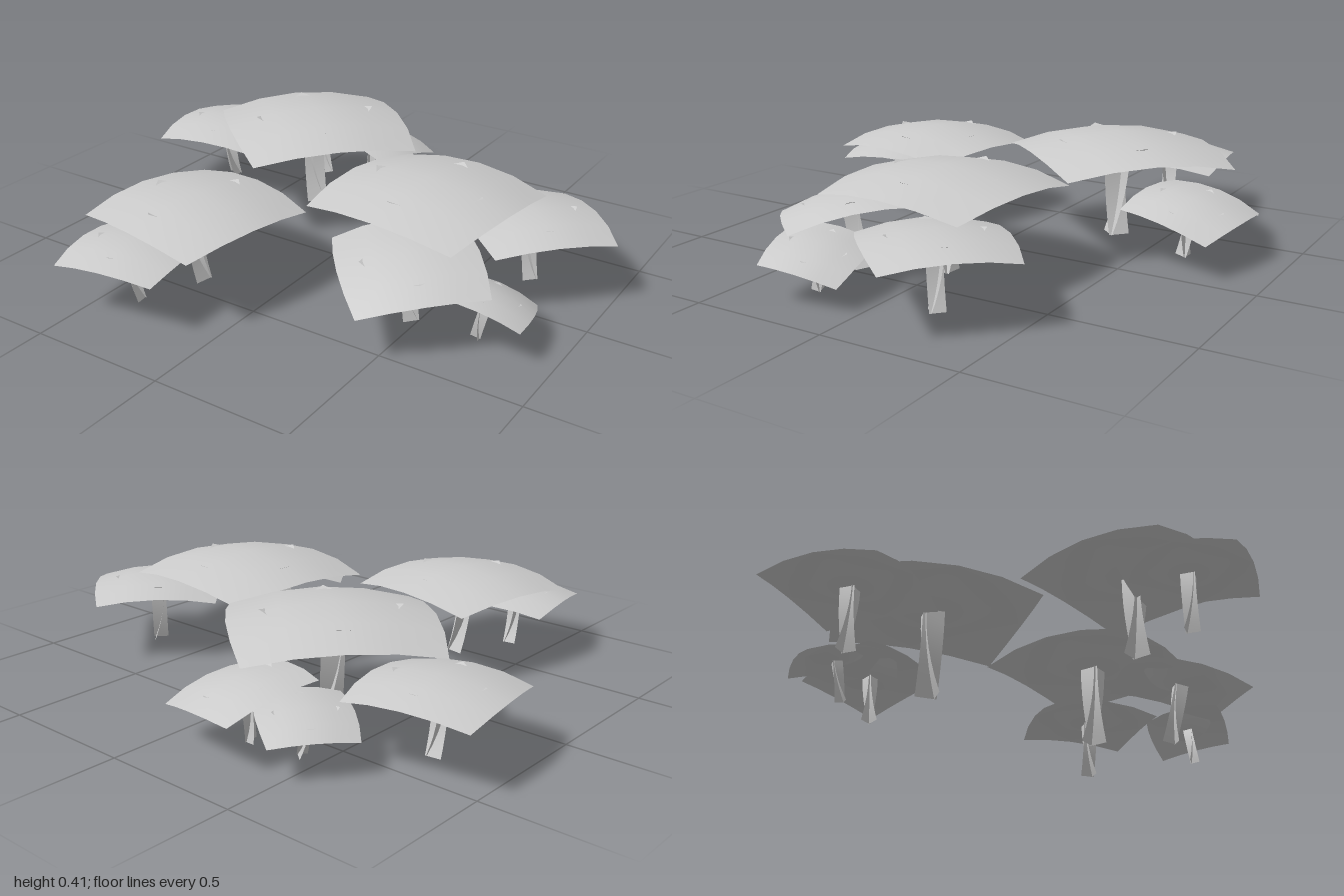
import * as THREE from 'three';

const material = new THREE.MeshStandardMaterial({ color: 0xcccccc, side: THREE.DoubleSide });

// All shapes are in units of the cap radius (centre to corner).
const HEIGHT = 0.925;   // top of the cap
const GILL_DROP = 0.17; // lowest point of the gills below the cap top

// Square sheet with bowed edges; heightAt gives y from the squared radius.
function sheet(radius, segments, heightAt) {
  const geometry = new THREE.PlaneGeometry(2, 2, segments, segments).rotateX(-Math.PI / 2);
  const p = geometry.attributes.position;
  const half = radius * Math.SQRT1_2;
  for (let i = 0; i < p.count; i++) {
    const u = p.getX(i), v = p.getZ(i);
    const x = half * u * (1 + 0.09 * (1 - v * v));
    const z = half * v * (1 + 0.09 * (1 - u * u));
    p.setXYZ(i, x, heightAt(x * x + z * z), z);
  }
  geometry.computeVertexNormals();
  return geometry;
}

// Upright strip that sweeps sideways towards its foot.
function stemStrip(foot) {
  const top = HEIGHT - GILL_DROP + 0.02;
  const geometry = new THREE.PlaneGeometry(0.18, 1, 1, 6);
  const p = geometry.attributes.position;
  for (let i = 0; i < p.count; i++) {
    const t = p.getY(i) + 0.5;
    p.setY(i, foot + t * (top - foot));
    p.setZ(i, -0.07 + 0.14 * (1 - t) ** 2);
  }
  geometry.computeVertexNormals();
  return geometry;
}

function part(name, geometry, turn = 0) {
  const mesh = new THREE.Mesh(geometry, material);
  mesh.name = name;
  mesh.rotation.y = turn;
  return mesh;
}

const capGeometry = sheet(1, 4, (r2) => HEIGHT - 0.215 * r2);
// Upturned bowl whose corners just break through the cap
const gillGeometry = sheet(0.53, 6, (r2) => HEIGHT - GILL_DROP + 0.463 * r2);
const uprightStem = stemStrip(0.045);
const leaningStem = stemStrip(0.02);

function mushroom({ x, z, radius, yaw, leanX = 0, leanZ = 0 }) {
  const group = new THREE.Group();
  group.name = 'mushroom';
  const stem = leanX || leanZ ? leaningStem : uprightStem;
  group.add(
    part('cap', capGeometry),
    part('gills', gillGeometry, Math.PI / 4),
    part('stemStrip', stem),
    part('stemCrossStrip', stem, Math.PI / 2),
  );
  group.scale.setScalar(radius);
  group.position.set(x, 0, z);
  group.rotation.set(leanZ, yaw + Math.PI / 4, -leanX, 'XZY');
  return group;
}

export function createModel() {
  const model = new THREE.Group();
  model.name = 'mushroomPatch';
  const mushrooms = [
    // Left back cluster
    { x: -0.315, z: -0.34, radius: 0.445, yaw: 0.06 },
    { x: -0.755, z: -0.36, radius: 0.304, yaw: 0.92 },
    { x: -0.25, z: -0.64, radius: 0.25, yaw: 0.62, leanX: 0.14, leanZ: -0.16 },
    { x: -0.44, z: -0.62, radius: 0.2, yaw: 0.14, leanX: -0.16, leanZ: -0.1 },
    // Right cluster
    { x: 0.37, z: -0.03, radius: 0.424, yaw: 0.68 },
    { x: 0.69, z: -0.21, radius: 0.31, yaw: 0.03 },
    { x: 0.47, z: 0.25, radius: 0.308, yaw: -0.05, leanX: 0.05, leanZ: 0.18 },
    { x: 0.71, z: 0.25, radius: 0.2, yaw: 1.0, leanX: 0.2, leanZ: -0.22 },
    // Front left pair
    { x: -0.28, z: 0.445, radius: 0.381, yaw: 0.61 },
    { x: -0.37, z: 0.67, radius: 0.267, yaw: 0.93 },
  ];
  for (const m of mushrooms) model.add(mushroom(m));
  return model;
}
